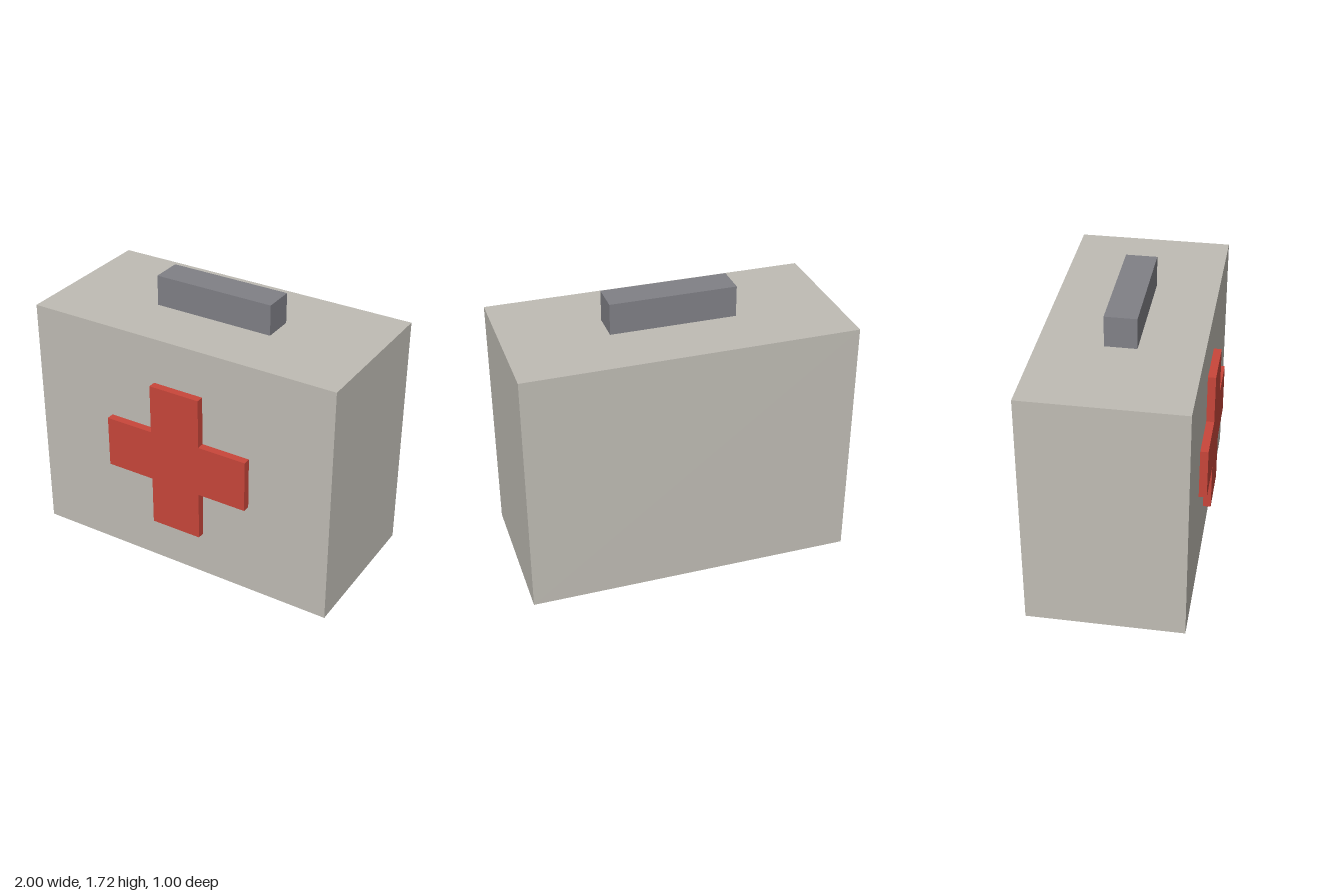
import * as THREE from 'three';

export function createModel() {
  const group = new THREE.Group();
  const material = (name, color) => {
    const m = new THREE.MeshStandardMaterial({ color });
    m.name = name;
    return m;
  };
  const caseGrey = material('case grey', 0xbfbcb4);
  const handleGrey = material('handle grey', 0x808086);
  const crossRed = material('cross red', 0xc8463a);

  const add = (name, geometry, mat, x, y, z) => {
    const mesh = new THREE.Mesh(geometry, mat);
    mesh.name = name;
    mesh.position.set(x, y, z);
    group.add(mesh);
  };

  // Case body, set slightly back to leave room for the raised cross
  const height = 1.525, back = -0.5, front = 0.452;
  add('caseBody', new THREE.BoxGeometry(2, height, front - back), caseGrey, 0, height / 2, (front + back) / 2);

  // Solid handle block on the lid
  add('handle', new THREE.BoxGeometry(0.765, 0.19, 0.19), handleGrey, 0, height + 0.095, -0.023);

  // Raised cross: one arm outline turned four times
  const arm = 0.475, half = 0.164;
  const outline = [];
  for (let i = 0; i < 4; i++) {
    for (const [x, y] of [[arm, -half], [arm, half], [half, half]]) {
      outline.push(new THREE.Vector2(x, y).rotateAround(new THREE.Vector2(), i * Math.PI / 2));
    }
  }
  const crossGeometry = new THREE.ExtrudeGeometry(new THREE.Shape(outline), { depth: 0.5 - front, bevelEnabled: false });
  add('cross', crossGeometry, crossRed, 0, 0.765, front);

  return group;
}
